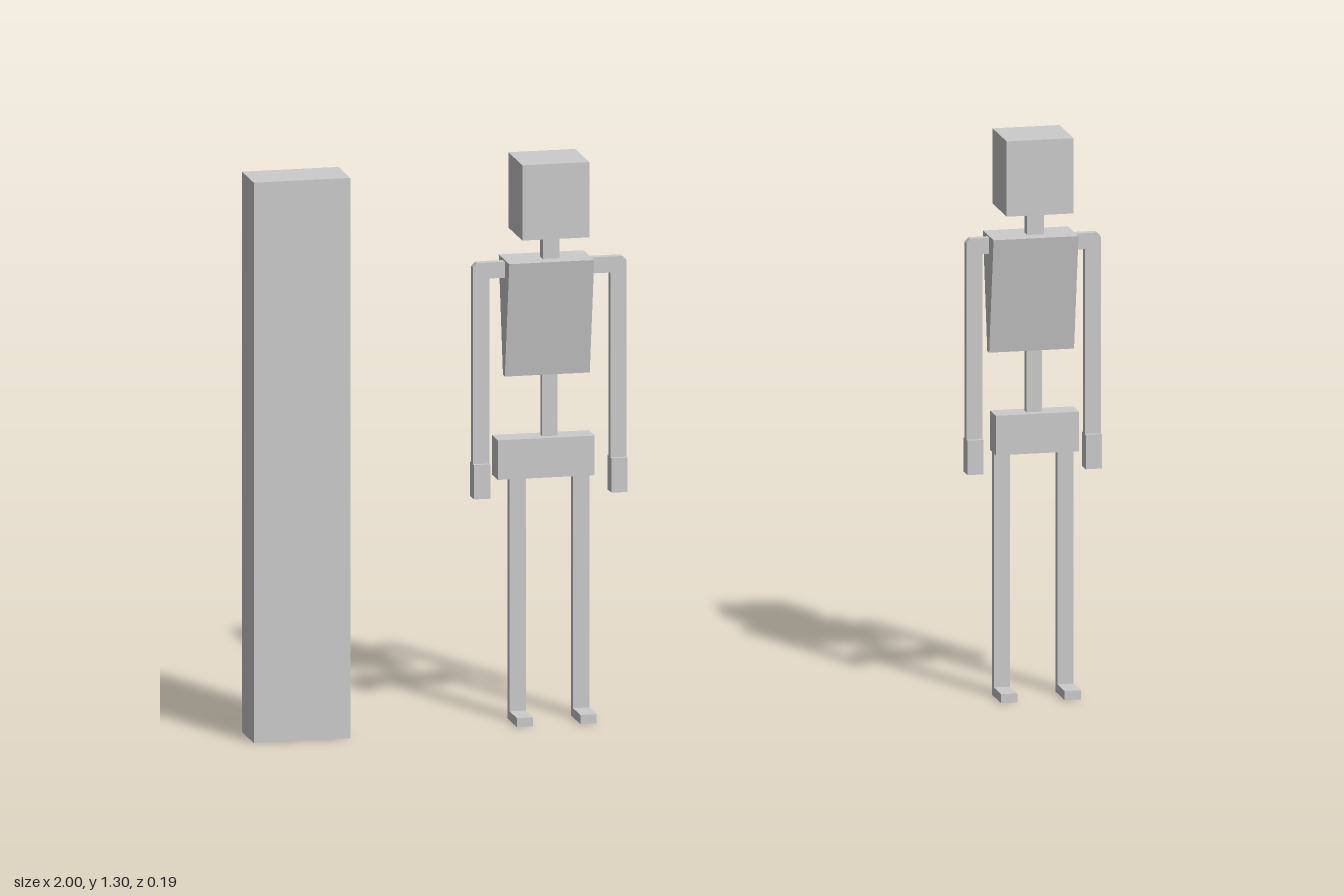
import * as THREE from 'three';

const material = new THREE.MeshStandardMaterial({ color: 0xcccccc, flatShading: true });

function addMesh(parent, name, geometry) {
  const mesh = new THREE.Mesh(geometry, material);
  mesh.name = name;
  parent.add(mesh);
  return mesh;
}

// Box given by its lower and upper limits on each axis
function addBox(parent, name, [x0, x1], [y0, y1], [z0, z1]) {
  const mesh = addMesh(parent, name, new THREE.BoxGeometry(Math.abs(x1 - x0), y1 - y0, z1 - z0));
  mesh.position.set((x0 + x1) / 2, (y0 + y1) / 2, (z0 + z1) / 2);
}

// Flat outline pushed out by a depth
function extrude(points, depth) {
  const shape = new THREE.Shape(points.map(([x, y]) => new THREE.Vector2(x, y)));
  return new THREE.ExtrudeGeometry(shape, { depth, bevelEnabled: false });
}

const LIMB_Z = [-0.028, -0.009];

// armOuter: centre line to the outside of the arm
function createFigure(name, { x, hips, armOuter, legs }) {
  const figure = new THREE.Group();
  figure.name = name;
  figure.position.x = x;

  addBox(figure, 'head', [-0.078, 0.078], [1.128, 1.303], [-0.091, 0.052]);
  addBox(figure, 'neck', [-0.018, 0.021], [1.07, 1.128], [-0.03, -0.002]);

  // Chest: wedge that narrows to the waist, outline in z and y
  const chest = extrude([[-0.009, 0.8], [0.036, 1.071], [-0.071, 1.071], [-0.028, 0.8]], 0.198);
  chest.rotateY(-Math.PI / 2).translate(0.093, 0, 0);
  addMesh(figure, 'chest', chest);

  addBox(figure, 'spine', [-0.018, 0.018], [0.657, 0.8], LIMB_Z);
  addBox(figure, 'pelvis', hips, [0.565, 0.657], [-0.048, 0.011]);

  for (const [side, s] of [['right', -1], ['left', 1]]) {
    // Arm: shoulder bar and hanging arm in one piece with a clipped corner
    const outer = s * armOuter[side];
    const inner = outer - s * 0.038;
    const root = s * 0.085;
    const arm = extrude([
      [root, 1.03], [inner, 1.03], [inner, 0.6], [outer, 0.6],
      [outer, 1.057], [outer - s * 0.009, 1.067], [root, 1.067],
    ], LIMB_Z[1] - LIMB_Z[0]);
    arm.translate(0, 0, LIMB_Z[0]);
    addMesh(figure, side + 'Arm', arm);
    addBox(figure, side + 'Hand', [inner, outer], [0.52, 0.6], [-0.038, 0.001]);

    // Leg standing on the back of a flat foot
    const leg = legs[side];
    addBox(figure, side + 'Leg', leg, [0.021, 0.565], LIMB_Z);
    addBox(figure, side + 'Foot', leg, [0, 0.021], [LIMB_Z[0], 0.065]);
  }
  return figure;
}

export function createModel() {
  const model = new THREE.Group();
  model.name = 'figuresAndPillar';

  addBox(model, 'pillar', [-1, -0.775], [0, 1.303], [-0.026, 0.094]);

  const legs = { right: [-0.094, -0.056], left: [0.054, 0.092] };
  model.add(
    createFigure('wideFigure', {
      x: -0.286, hips: [-0.126, 0.1], armOuter: { right: 0.179, left: 0.179 }, legs,
    }),
    createFigure('narrowFigure', {
      x: 0.843, hips: [-0.094, 0.1], armOuter: { right: 0.158, left: 0.156 }, legs,
    }),
  );
  return model;
}
